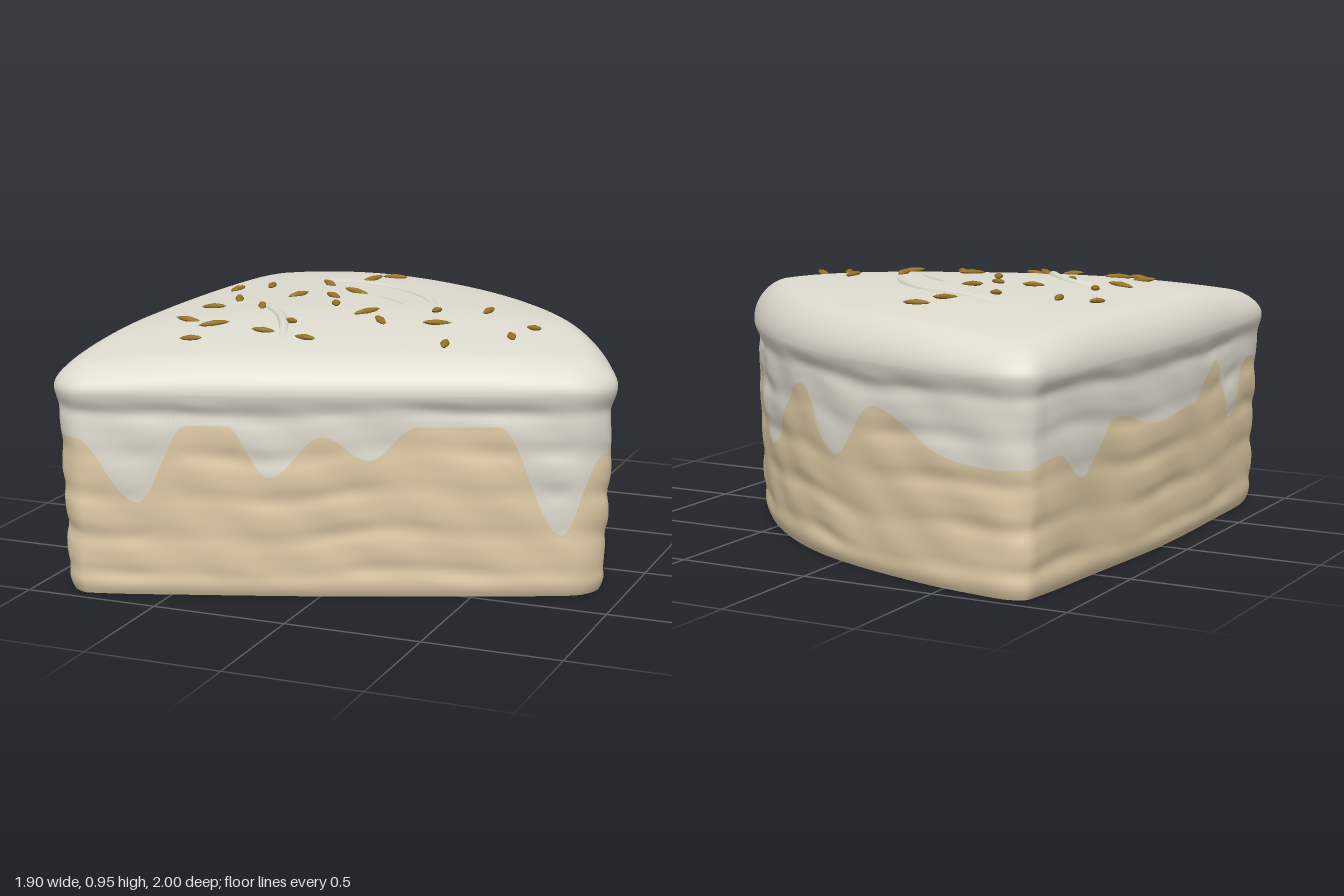
import * as THREE from 'three';

const icingMat = new THREE.MeshStandardMaterial({ color: 0xdddace, side: THREE.DoubleSide });
icingMat.name = 'icing';
const spongeMat = new THREE.MeshStandardMaterial({ color: 0xe0cba6, side: THREE.DoubleSide });
spongeMat.name = 'sponge';
const sprinkleMat = new THREE.MeshStandardMaterial({ color: 0x967224 });
sprinkleMat.name = 'sprinkle gold';

// Plan outline of the slice: front wall, right tip, curved back wall, left wall
const OUTLINE = [
  [-0.72, 0.985], [-0.4, 0.88], [0, 0.74], [0.4, 0.585], [0.75, 0.44], [0.89, 0.365],
  [0.945, 0.25], [0.9, 0.115], [0.78, -0.105], [0.6, -0.35], [0.4, -0.55], [0.2, -0.7], [-0.02, -0.815],
  [-0.4, -0.945], [-0.6, -0.985], [-0.77, -1], [-0.855, -0.955], [-0.88, -0.85],
  [-0.91, -0.5], [-0.948, 0], [-0.945, 0.5], [-0.93, 0.85], [-0.9, 0.945], [-0.81, 1],
];

// Lower edge of the icing on each wall, as [position along wall, height]
const FRONT_DRIPS = [[-0.8, 0.59], [-0.59, 0.36], [-0.42, 0.64], [-0.29, 0.64], [-0.15, 0.455],
  [0.03, 0.605], [0.18, 0.52], [0.34, 0.64], [0.6, 0.64], [0.81, 0.24], [0.945, 0.53]];
const BACK_DRIPS = [[-1, 0.45], [-0.88, 0.6], [-0.8, 0.4], [-0.69, 0.62], [-0.46, 0.34],
  [-0.27, 0.61], [-0.05, 0.29], [0.16, 0.61], [0.25, 0.53]];
const LEFT_DRIPS = [[-1, 0.45], [-0.8, 0.48], [-0.64, 0.38], [-0.4, 0.55], [-0.1, 0.49], [0.2, 0.51],
  [0.42, 0.64], [0.58, 0.4], [0.74, 0.61], [1, 0.59]];

// Smooth interpolation through a list of [key, value]
function ease(list, k) {
  if (k <= list[0][0]) return list[0][1];
  for (let i = 1; i < list.length; i++) {
    const [x0, y0] = list[i - 1], [x1, y1] = list[i];
    if (k <= x1) return y0 + (y1 - y0) * (1 - Math.cos(Math.PI * (k - x0) / (x1 - x0))) / 2;
  }
  return list[list.length - 1][1];
}

// Domed top, falling off towards the front, curved and left walls
function topY(x, z) {
  const front = Math.max(0, z + 0.374 * x) / 0.715;
  const arc = Math.hypot(x + 0.8, z - 1) / 2;
  const left = Math.max(0, -x) / 0.95;
  return 0.946 - 0.082 * front ** 2 - 0.08 * arc ** 8 - 0.065 * left ** 2.5;
}

// Inset of the wall at a height: rounded foot, soft cake layers, icing lip
function wallInset(y, t) {
  const w = t * Math.PI * 2, step = THREE.MathUtils.smoothstep;
  const wobble = 0.02 * Math.sin(4 * w) + 0.012 * Math.sin(9 * w + 2);
  const strength = 0.006 + 0.003 * Math.sin(6 * w + 9 * y);
  const notch = (0.5 + 0.5 * Math.cos(2 * Math.PI * (y - 0.24 + wobble) / 0.15)) ** 2;
  const lumps = 0.004 * Math.sin(15 * w + y * 8) * Math.sin(y * 17 + 5 * w);
  const fade = step(y, 0.03, 0.12) * (1 - step(y, 0.68, 0.75));
  const lean = 0.016 * (1 - step(y, 0.05, 0.55)) + 0.018 * (1 - step(y, 0.67, 0.76));
  const foot = 0.025 * Math.max(0, 1 - y / 0.07) ** 2;
  return lean + foot + fade * (strength * notch + lumps);
}

// One continuous skin, shared by the sponge below the drip line and the icing above it
function buildSkin() {
  const N = 384, SPONGE = 40, WALL = 36, ROUND = 12, RINGS = 16, FOOT = 0.012, LIP = 0.755, cx = -0.25, cz = 0.05;
  const curve = new THREE.CatmullRomCurve3(OUTLINE.map(([x, z]) => new THREE.Vector3(x, 0, z)), true);
  curve.arcLengthDivisions = 4000;
  const pts = curve.getSpacedPoints(N).slice(0, N);
  let tip = 0;
  pts.forEach((p, i) => { if (p.x > pts[tip].x) tip = i; });
  const columns = pts.map((p, i) => {
    const a = pts[(i + N - 2) % N], b = pts[(i + 2) % N];
    const n = new THREE.Vector2(a.z - b.z, b.x - a.x).normalize();
    const onFront = i <= tip || p.z > 0.5;
    const drip = p.x < -0.8 ? ease(LEFT_DRIPS, p.z) : onFront ? ease(FRONT_DRIPS, p.x) : ease(BACK_DRIPS, p.z);
    const c = new THREE.Vector2(p.x - cx, p.z - cz).normalize();
    return { p, n, drip, soft: n.clone().add(c).normalize() };
  });
  const pos = [];
  const ring = (fn) => columns.forEach((c, i) => pos.push(...fn(c, i / N)));
  const wall = (c, t, y) => {
    const d = wallInset(y, t);
    return [c.p.x - c.n.x * d, y, c.p.z - c.n.y * d];
  };
  const rim = (c, a) => {
    const d = 0.13 * (1 - Math.cos(a)), x = c.p.x - c.soft.x * d, z = c.p.z - c.soft.y * d;
    return [x, LIP + (topY(x, z) - LIP) * Math.sin(a), z];
  };
  for (let j = 0; j <= SPONGE; j++) ring((c, t) => wall(c, t, FOOT + (c.drip - FOOT) * j / SPONGE));
  for (let j = 1; j <= WALL; j++) ring((c, t) => wall(c, t, c.drip + (LIP - c.drip) * j / WALL));
  for (let j = 1; j <= ROUND; j++) ring((c) => rim(c, Math.PI / 2 * j / ROUND));
  for (let j = 1; j <= RINGS; j++) ring((c) => {
    const e = rim(c, Math.PI / 2), s = 1 - j / RINGS;
    const x = cx + (e[0] - cx) * s, z = cz + (e[2] - cz) * s;
    return [x, topY(x, z), z];
  });
  const faces = (from, to) => {
    const idx = [];
    for (let j = from; j < to; j++) for (let i = 0; i < N; i++) {
      const a = j * N + i, b = j * N + (i + 1) % N;
      idx.push(a, b, b + N, a, b + N, a + N);
    }
    return idx;
  };
  const rows = SPONGE + WALL + ROUND + RINGS;
  const whole = new THREE.BufferGeometry();
  whole.setAttribute('position', new THREE.Float32BufferAttribute(pos, 3));
  whole.setIndex(faces(0, rows));
  whole.computeVertexNormals();
  const part = (from, to) => {
    const g = new THREE.BufferGeometry();
    g.setAttribute('position', whole.getAttribute('position'));
    g.setAttribute('normal', whole.getAttribute('normal'));
    g.setIndex(faces(from, to));
    return g;
  };
  return [part(0, SPONGE), part(SPONGE, rows)];
}

// Raised crease in the icing, sinking into the top at both ends
function crease(points, radius) {
  const last = points.length - 1;
  const path = new THREE.CatmullRomCurve3(points.map(([x, z], i) =>
    new THREE.Vector3(x, topY(x, z) - radius * (i === 0 || i === last ? 1 : 0.4), z)));
  return new THREE.TubeGeometry(path, 48, radius, 10);
}

// Sprinkles: x, z and heading in degrees
const SPRINKLES = [
  [-0.22, -0.6, -12], [-0.27, -0.48, -65], [-0.38, -0.31, 40], [-0.72, -0.19, -75], [-0.6, -0.25, 75],
  [-0.21, -0.17, 15], [-0.4, -0.05, -52], [-0.26, -0.06, 35], [-0.6, 0.05, 65], [-0.63, 0.21, 5],
  [-0.44, 0.19, 65], [-0.19, 0.08, 65], [-0.03, 0.17, -55], [0.06, 0.26, 50], [0.2, 0.05, 90],
  [0.37, -0.04, 90], [0.26, 0.21, -40], [0.59, 0.1, 35], [0.55, 0.23, 65], [0.36, 0.4, 75],
  [-0.24, 0.38, 45], [-0.29, 0.51, -15], [-0.12, 0.53, 17], [-0.5, 0.48, -40], [-0.62, 0.44, 0], [-0.51, 0.65, -3],
];

export function createModel() {
  const group = new THREE.Group();
  group.name = 'cakeSlice';
  const add = (geometry, material, name) => {
    const mesh = new THREE.Mesh(geometry, material);
    mesh.name = name;
    group.add(mesh);
    return mesh;
  };

  const [sponge, icing] = buildSkin();
  add(sponge, spongeMat, 'sponge');
  add(icing, icingMat, 'icing');

  // Creases left by the spreading knife
  add(crease([[-0.56, -0.46], [-0.3, -0.39], [-0.1, -0.32], [0.06, -0.19], [0.2, 0.02]], 0.02), icingMat, 'backCrease');
  add(crease([[-0.2, -0.2], [-0.06, -0.11], [0.04, -0.03], [0.16, 0.09]], 0.014), icingMat, 'backCreaseFold');
  add(crease([[-0.67, 0.1], [-0.46, 0.15], [-0.34, 0.27], [-0.26, 0.4], [-0.18, 0.6]], 0.02), icingMat, 'frontCrease');

  // Pointed sprinkles lying on the icing
  const grain = new THREE.LatheGeometry(
    [[0, -0.054], [0.009, -0.036], [0.015, 0], [0.009, 0.036], [0, 0.054]].map(([r, y]) => new THREE.Vector2(r, y)), 10);
  grain.rotateZ(-Math.PI / 2);
  grain.scale(1, 0.75, 1.1);
  SPRINKLES.forEach(([x, z, heading], i) => {
    const s = add(grain, sprinkleMat, 'sprinkle' + (i + 1));
    s.position.set(x, topY(x, z) + 0.005, z);
    s.rotation.set(0, -heading * Math.PI / 180, 0.12 * Math.sin(i * 2.3));
    s.scale.x = 0.95 + 0.14 * Math.sin(i * 1.7);
  });
  return group;
}
